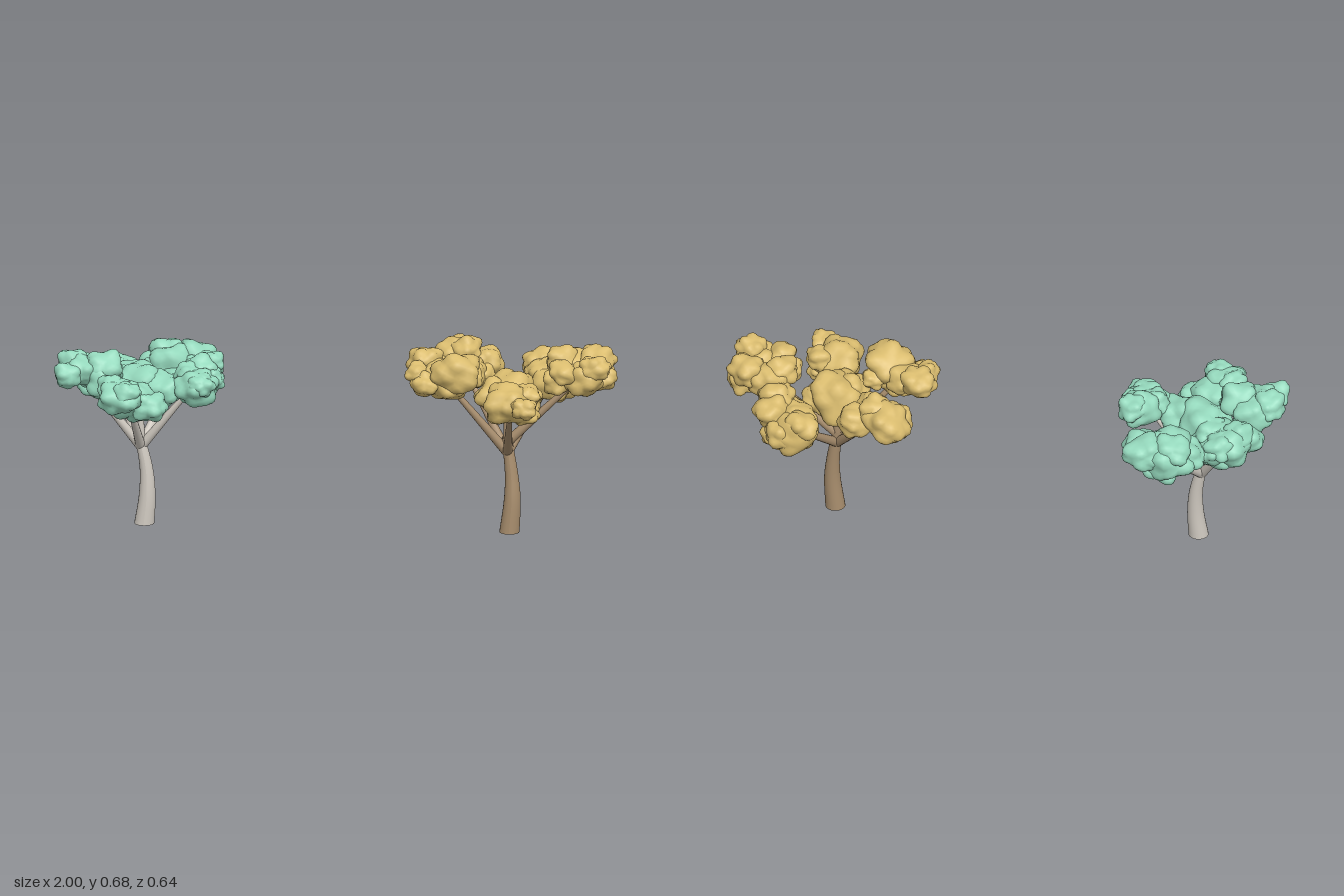
import * as THREE from 'three';
import { mergeVertices } from 'three/addons/utils/BufferGeometryUtils.js';

const mat = (name, color, side = THREE.FrontSide) => new THREE.MeshStandardMaterial({ name, color, side });
const V = (p) => new THREE.Vector3(...p);

// Seeded random numbers
function seeded(seed) {
  let s = seed;
  return () => (s = (s * 16807) % 2147483647) / 2147483647;
}

// Knobbly, slightly flattened leaf clump
function leafClump([x, y, z, r], material, rand) {
  let geo = new THREE.IcosahedronGeometry(1, 5);
  geo.deleteAttribute('uv');
  geo.deleteAttribute('normal');
  geo = mergeVertices(geo, 1e-4);
  const peaks = Array.from({ length: 26 }, () => ({
    dir: new THREE.Vector3(rand() - 0.5, rand() - 0.5, rand() - 0.5).normalize(),
    height: 0.16 + 0.26 * rand(),
  }));
  const pos = geo.attributes.position;
  const v = new THREE.Vector3();
  for (let i = 0; i < pos.count; i++) {
    v.fromBufferAttribute(pos, i);
    // peaks with shallow dents between them
    const rise = Math.max(...peaks.map((p) => p.height * Math.max(0, p.dir.dot(v)) ** 9));
    v.multiplyScalar(r * (0.79 + rise + 0.03 * (rand() - 0.5)));
    pos.setXYZ(i, v.x, v.y * 0.84, v.z);
  }
  geo.computeVertexNormals();
  const mesh = new THREE.Mesh(geo, material);
  mesh.name = 'leafClump';
  mesh.position.set(x, y, z);
  return mesh;
}

// Bowed, tapering trunk: an open cylinder shifted along a curve
function trunk(points, r0, r1, material) {
  const curve = new THREE.CatmullRomCurve3(points.map(V));
  const geo = new THREE.CylinderGeometry(r1, r0, 1, 20, 16, true);
  const pos = geo.attributes.position;
  for (let i = 0; i < pos.count; i++) {
    const c = curve.getPoint(pos.getY(i) + 0.5);
    pos.setXYZ(i, pos.getX(i) + c.x, c.y, pos.getZ(i) + c.z);
  }
  geo.computeVertexNormals();
  const mesh = new THREE.Mesh(geo, material);
  mesh.name = 'trunk';
  return mesh;
}

// Straight tapering branch between two points
function branch(from, to, r0, r1, material) {
  const a = V(from), b = V(to), d = b.clone().sub(a);
  const mesh = new THREE.Mesh(new THREE.CylinderGeometry(r1, r0, d.length(), 14), material);
  mesh.name = 'branch';
  mesh.position.copy(a).add(b).multiplyScalar(0.5);
  mesh.quaternion.setFromUnitVectors(new THREE.Vector3(0, 1, 0), d.normalize());
  return mesh;
}

function tree(name, spec, bark, leaves) {
  const group = new THREE.Group();
  group.name = name;
  group.add(trunk(spec.trunk, 0.036, 0.018, bark));
  for (const [start, tip] of spec.branches) {
    group.add(branch([spec.forkX, start, 0.02], tip, 0.018, 0.009, bark));
  }
  const rand = seeded(spec.seed);
  for (const [part, clumps] of Object.entries(spec.canopy)) {
    const g = new THREE.Group();
    g.name = part;
    clumps.forEach((c) => g.add(leafClump(c, leaves, rand)));
    group.add(g);
  }
  return group;
}

const goldTree = {
  seed: 1234,
  trunk: [[0.625, 0, 0.036], [0.635, 0.12, 0.033], [0.632, 0.21, 0.027], [0.614, 0.345, 0.018]],
  forkX: 0.617,
  // each branch: start height, tip
  branches: [[0.29, [0.46, 0.52, -0.16]], [0.29, [0.41, 0.55, 0.06]], [0.29, [0.64, 0.47, 0.22]],
    [0.33, [0.86, 0.56, 0.01]], [0.29, [0.75, 0.49, -0.19]], [0.3, [0.615, 0.47, 0.015]]],
  canopy: {
    // each clump: x, y, z, radius
    backLeftLeaves: [[0.41, 0.575, -0.22, 0.084], [0.37, 0.56, -0.18, 0.058], [0.52, 0.56, -0.2, 0.068],
      [0.47, 0.545, -0.11, 0.066], [0.45, 0.605, -0.19, 0.062], [0.51, 0.53, -0.14, 0.056]],
    leftLeaves: [[0.32, 0.61, -0.02, 0.064], [0.305, 0.59, 0.07, 0.05], [0.44, 0.605, 0.09, 0.088],
      [0.38, 0.585, 0.04, 0.066], [0.33, 0.56, 0.1, 0.055], [0.49, 0.57, 0.04, 0.045],
      [0.41, 0.55, 0.08, 0.07]],
    centreLeaves: [[0.615, 0.5, 0.01, 0.106], [0.58, 0.51, 0.05, 0.075], [0.67, 0.48, 0.02, 0.07]],
    frontLeaves: [[0.635, 0.525, 0.2, 0.09], [0.7, 0.535, 0.285, 0.047], [0.7, 0.485, 0.19, 0.048],
      [0.7, 0.55, 0.17, 0.05]],
    rightLeaves: [[0.93, 0.625, -0.04, 0.066], [0.9, 0.585, 0.07, 0.072], [0.8, 0.57, 0.05, 0.056],
      [0.85, 0.595, -0.04, 0.08], [0.95, 0.565, -0.03, 0.054], [0.93, 0.63, 0.085, 0.055],
      [0.82, 0.57, -0.11, 0.068], [0.81, 0.63, -0.03, 0.062], [0.82, 0.615, 0.085, 0.055]],
    backRightLeaves: [[0.73, 0.505, -0.235, 0.09], [0.82, 0.55, -0.18, 0.07], [0.77, 0.51, -0.12, 0.078],
      [0.71, 0.55, -0.25, 0.062], [0.8, 0.475, -0.2, 0.062], [0.78, 0.51, -0.255, 0.06],
      [0.73, 0.53, -0.17, 0.065]],
  },
};

const greenTree = {
  seed: 777,
  trunk: [[-0.68, 0, 0.036], [-0.67, 0.1, 0.033], [-0.673, 0.2, 0.027], [-0.698, 0.32, 0.02]],
  forkX: -0.693,
  branches: [[0.28, [-0.6, 0.47, -0.18]], [0.28, [-0.52, 0.5, 0.05]], [0.28, [-0.72, 0.48, 0.18]],
    [0.28, [-0.88, 0.53, 0.06]], [0.28, [-0.79, 0.46, -0.09]], [0.29, [-0.7, 0.47, 0.02]]],
  canopy: {
    backLeaves: [[-0.6, 0.515, -0.2, 0.1], [-0.52, 0.54, -0.225, 0.076], [-0.5, 0.51, -0.16, 0.068],
      [-0.66, 0.505, -0.18, 0.073], [-0.57, 0.48, -0.12, 0.072], [-0.62, 0.55, -0.225, 0.07],
      [-0.58, 0.475, -0.21, 0.075]],
    centreLeaves: [[-0.7, 0.5, 0.02, 0.106], [-0.61, 0.51, 0.06, 0.075], [-0.67, 0.475, 0.06, 0.075],
      [-0.73, 0.52, -0.05, 0.066]],
    rightLeaves: [[-0.48, 0.56, 0, 0.074], [-0.45, 0.58, -0.03, 0.055], [-0.49, 0.53, 0.09, 0.078],
      [-0.44, 0.545, 0.05, 0.05], [-0.52, 0.555, 0.05, 0.056], [-0.47, 0.545, 0.13, 0.05]],
    backLeftLeaves: [[-0.8, 0.495, -0.085, 0.095], [-0.78, 0.52, -0.14, 0.06], [-0.865, 0.5, -0.05, 0.068],
      [-0.75, 0.5, -0.14, 0.056], [-0.84, 0.53, -0.08, 0.062], [-0.76, 0.465, -0.1, 0.07]],
    leftLeaves: [[-0.88, 0.56, 0.03, 0.075], [-0.945, 0.575, 0.13, 0.055], [-0.9, 0.575, 0.08, 0.066],
      [-0.82, 0.59, 0.07, 0.07], [-0.935, 0.59, 0.04, 0.06], [-0.82, 0.54, 0.1, 0.066]],
    frontLeaves: [[-0.75, 0.53, 0.245, 0.075], [-0.72, 0.505, 0.18, 0.082], [-0.65, 0.485, 0.2, 0.064],
      [-0.78, 0.55, 0.2, 0.056], [-0.73, 0.55, 0.27, 0.052], [-0.69, 0.475, 0.16, 0.07]],
  },
};

export function createModel() {
  const model = new THREE.Group();
  model.name = 'twoTrees';
  model.add(tree('goldTree', goldTree, mat('brownBark', 0xa68c6c, THREE.DoubleSide), mat('goldLeaves', 0xdbbd6f)));
  model.add(tree('greenTree', greenTree, mat('greyBark', 0xcdc7be, THREE.DoubleSide), mat('mintLeaves', 0x96dabe)));
  return model;
}
